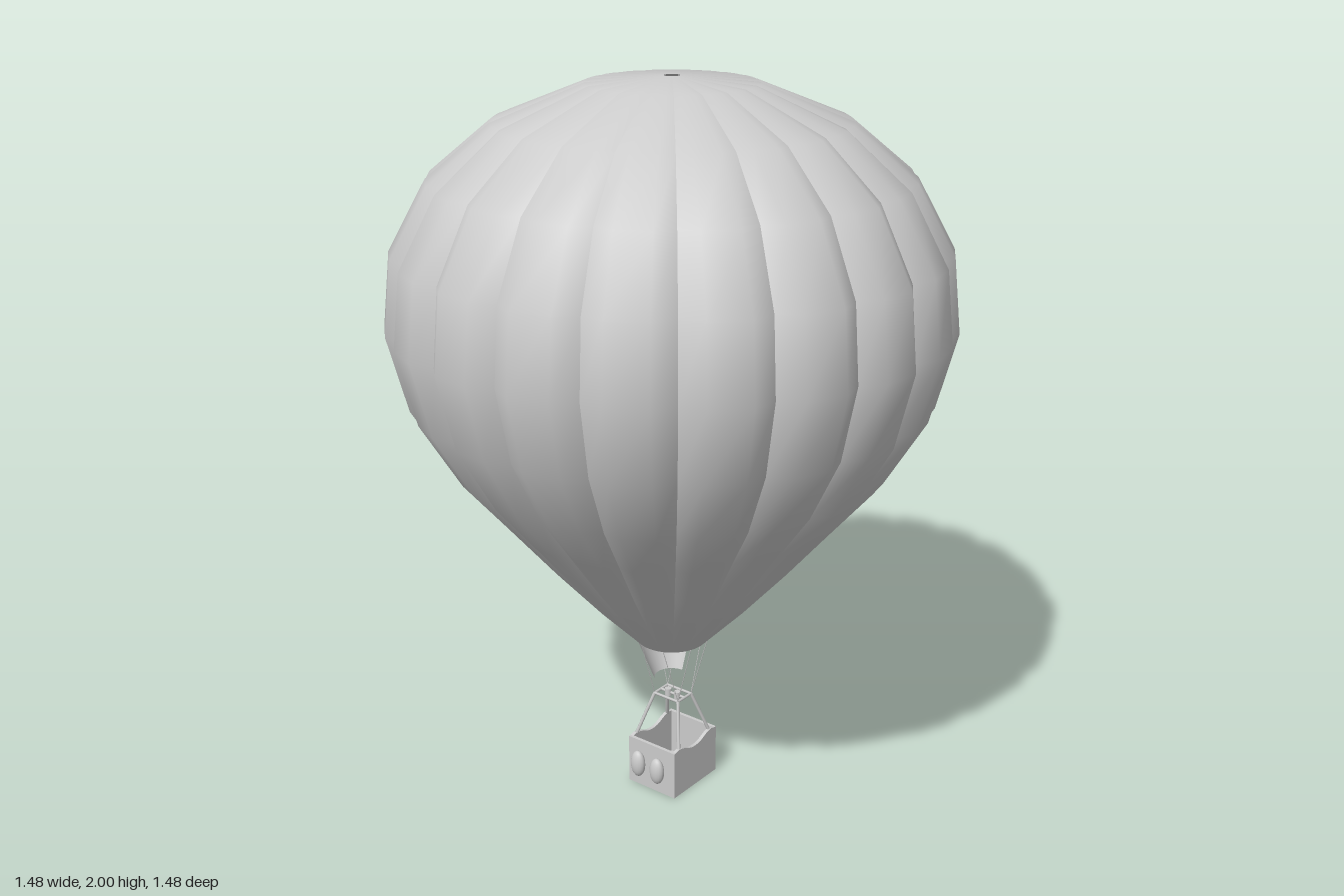
import * as THREE from 'three';

const grey = new THREE.MeshStandardMaterial({ color: 0xcccccc });
const cloth = new THREE.MeshStandardMaterial({ color: 0xcccccc, side: THREE.DoubleSide });

const add = (parent, name, geo, x = 0, y = 0, z = 0, mat = grey) => {
  const m = new THREE.Mesh(geo, mat);
  m.name = name;
  m.position.set(x, y, z);
  parent.add(m);
  return m;
};

// Straight rod between two points
function rod(parent, name, a, b, r, sides = 6) {
  const p = new THREE.Vector3(...a), q = new THREE.Vector3(...b);
  const d = q.clone().sub(p);
  const m = add(parent, name, new THREE.CylinderGeometry(r, r, d.length(), sides));
  m.position.copy(p).add(q).multiplyScalar(0.5);
  m.quaternion.setFromUnitVectors(new THREE.Vector3(0, 1, 0), d.normalize());
}

// Envelope profile: radius, height
const PROFILE = [
  [0.1, 0.45], [0.222, 0.577], [0.35, 0.722], [0.465, 0.86], [0.583, 1.0],
  [0.69, 1.18], [0.74, 1.38], [0.718, 1.575], [0.618, 1.755], [0.455, 1.89],
  [0.222, 1.983], [0.02, 2.0],
];
const GORES = 20;
const STEPS = [-9, -4.2, 4.2, 9];

// One bulging panel; seams stay sharp because panels share no vertices
function goreGeometry(centre) {
  const pos = [], idx = [], n = STEPS.length;
  PROFILE.forEach(([r, y], j) => {
    const dent = 0.048 * Math.pow(Math.max(0, Math.sin(Math.PI * j / (PROFILE.length - 1))), 0.6);
    STEPS.forEach((s, i) => {
      const a = THREE.MathUtils.degToRad(centre + s);
      const rr = i === 0 || i === n - 1 ? r * (1 - dent) : r;
      pos.push(rr * Math.cos(a), y, rr * Math.sin(a));
      if (j && i) {
        const d = j * n + i, c = d - 1, b = d - n, e = b - 1;
        idx.push(e, c, b, b, c, d);
      }
    });
  });
  const g = new THREE.BufferGeometry();
  g.setAttribute('position', new THREE.Float32BufferAttribute(pos, 3));
  g.setIndex(idx);
  g.computeVertexNormals();
  return g;
}

export function createModel() {
  const model = new THREE.Group();
  model.name = 'hotAirBalloon';

  // Envelope
  const envelope = new THREE.Group();
  envelope.name = 'envelope';
  model.add(envelope);
  for (let k = 0; k < GORES; k++) {
    add(envelope, 'gore', goreGeometry(6 + k * 360 / GORES), 0, 0, 0, cloth);
  }

  // Wind scoop: partial cone under the mouth, on the right and back
  // (cylinder angle t runs from +z towards +x)
  const rad = THREE.MathUtils.degToRad;
  add(model, 'scoop', new THREE.CylinderGeometry(0.1, 0.05, 0.13, 12, 1, true, rad(182), rad(133)),
    0, 0.385, 0, cloth);

  // Gondola: basket, burner frame and rigging
  const gondola = new THREE.Group();
  gondola.name = 'gondola';
  gondola.position.x = 0.003;
  model.add(gondola);
  const W = 0.082, D = 0.098, H = 0.148, T = 0.01;

  // Basket floor, end walls and dipped side walls
  add(gondola, 'basketFloor', new THREE.BoxGeometry(2 * W, T, 2 * D), 0, T / 2, 0);
  for (const s of [-1, 1]) {
    add(gondola, 'basketEndWall', new THREE.BoxGeometry(2 * W, H - 0.004, T), 0, (H - 0.004) / 2, s * (D - T / 2));
  }
  const side = new THREE.Shape();
  side.moveTo(-D, 0);
  side.lineTo(D, 0);
  side.lineTo(D, H - 0.006);
  side.lineTo(0.075, H);
  side.bezierCurveTo(0.04, H - 0.004, 0.035, 0.127, 0, 0.127);
  side.bezierCurveTo(-0.035, 0.127, -0.04, H - 0.004, -0.075, H);
  side.lineTo(-D, H - 0.006);
  const sideGeo = new THREE.ExtrudeGeometry(side, { depth: T, bevelEnabled: false, curveSegments: 8 });
  sideGeo.rotateY(-Math.PI / 2);
  for (const x of [W, T - W]) add(gondola, 'basketSideWall', sideGeo, x, 0, 0);

  // Fuel tanks on the front wall
  for (const x of [-0.034, 0.034]) {
    const tank = add(gondola, 'fuelTank', new THREE.SphereGeometry(1, 16, 12), x, 0.081, 0.117);
    tank.scale.set(0.023, 0.04, 0.017);
  }

  // Burner frame, uprights and cables
  const FX = 0.042, FZ = 0.03, FY = 0.268;
  for (const s of [-1, 1]) {
    rod(gondola, 'burnerFrameBar', [-FX, FY, s * FZ], [FX, FY, s * FZ], 0.004);
    rod(gondola, 'burnerFrameBar', [s * FX, FY, -FZ], [s * FX, FY, FZ], 0.004);
    add(gondola, 'burner', new THREE.CylinderGeometry(0.01, 0.01, 0.022, 10), s * 0.016, FY, 0);
    for (const t of [-1, 1]) {
      const corner = [s * FX, FY, t * FZ];
      rod(gondola, 'upright', corner, [s * 0.077, 0.14, t * 0.072], 0.005);
      for (const a of [22.5, 67.5]) {
        const c = Math.cos(rad(a)) * 0.1, d = Math.sin(rad(a)) * 0.1;
        rod(gondola, 'cable', corner, [s * c, 0.452, t * d], 0.0013, 4);
      }
    }
  }
  rod(gondola, 'burnerCrossbar', [-FX, FY, 0], [FX, FY, 0], 0.004);

  return model;
}
